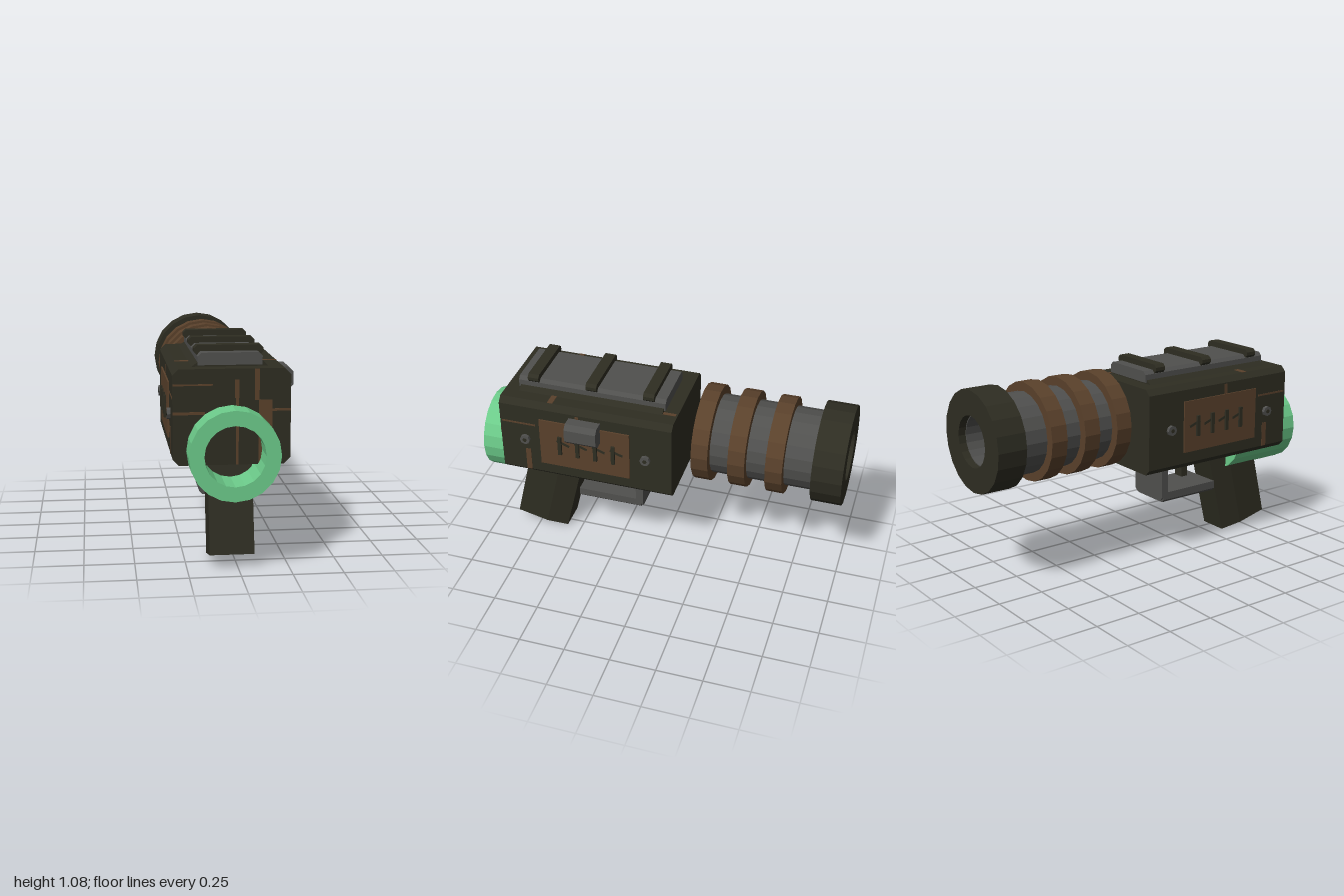
import * as THREE from 'three';

const mat = (name, color) => {
  const m = new THREE.MeshStandardMaterial({ color, flatShading: true });
  m.name = name;
  return m;
};

export function createModel() {
  const dark = mat('dark olive', 0x2e2d22);
  const gray = mat('steel gray', 0x50504e);
  const rust = mat('rust brown', 0x5a412b);
  const green = mat('mint green', 0x6ccb8a);

  const root = new THREE.Group();
  root.name = 'blaster';
  const gun = new THREE.Group();
  gun.name = 'gun';
  gun.position.x = -0.03; // the side knob makes the whole asymmetric
  root.add(gun);

  const add = (name, geo, material, x = 0, y = 0, z = 0) => {
    const m = new THREE.Mesh(geo, material);
    m.name = name;
    m.position.set(x, y, z);
    gun.add(m);
    return m;
  };
  // Box given by its extents
  const box = (name, material, x0, x1, y0, y1, z0, z1) =>
    add(name, new THREE.BoxGeometry(x1 - x0, y1 - y0, z1 - z0), material,
      (x0 + x1) / 2, (y0 + y1) / 2, (z0 + z1) / 2);
  // Polygon in x, y drawn out along z
  const prism = (name, material, pts, z0, z1) => {
    const shape = new THREE.Shape(pts.map(([x, y]) => new THREE.Vector2(x, y)));
    return add(name, new THREE.ExtrudeGeometry(shape, { depth: z1 - z0, bevelEnabled: false }), material, 0, 0, z0);
  };
  // Rectangle with cut top (t) and bottom (b) corners
  const cut = (w, y0, y1, t, b) => [
    [-w + b, y0], [w - b, y0], [w, y0 + b], [w, y1 - t], [w - t, y1], [-w + t, y1], [-w, y1 - t], [-w, y0 + b],
  ].filter((p, i, a) => i === 0 || p[0] !== a[i - 1][0] || p[1] !== a[i - 1][1]);
  // Hollow tube along z
  const tube = (name, material, y, ro, ri, z0, z1) => {
    const pts = [[ro, z0], [ro, z1], [ri, z1], [ri, z0], [ro, z0]].map(p => new THREE.Vector2(...p));
    const geo = new THREE.LatheGeometry(pts, 20);
    geo.rotateX(Math.PI / 2);
    return add(name, geo, material, 0, y, 0);
  };

  // Main body
  prism('body', dark, cut(0.285, 0.515, 0.982, 0.03, 0.03), -0.11, 0.85);

  // Front ring
  tube('frontRing', green, 0.587, 0.22, 0.147, 0.58, 1.0);

  // Rear barrel with bands and end cap
  const by = 0.797;
  tube('barrel', gray, by, 0.213, 0.13, -0.96, -0.205);
  for (const z of [-0.25, -0.447, -0.645]) tube('barrelBand', rust, by, 0.26, 0.18, z - 0.045, z + 0.045);
  tube('barrelCap', dark, by, 0.267, 0.135, -1.0, -0.84);

  // Top rail with cross slats
  prism('railBase', dark, [[-0.19, 0.98], [0.19, 0.98], [0.155, 1.005], [-0.155, 1.005]], -0.03, 0.77);
  prism('topRail', gray, cut(0.157, 0.99, 1.05, 0.018, 0), -0.04, 0.78);
  for (const z of [0.05, 0.367, 0.692]) prism('railSlat', dark, cut(0.17, 1.032, 1.08, 0.015, 0.015), z - 0.03, z + 0.03);

  // Tilted grip with cut rear corners
  const gripShape = new THREE.Shape([
    [-0.11, -0.149], [0.11, -0.149], [0.11, 0.03], [0.08, 0.149], [-0.08, 0.149], [-0.11, 0.03],
  ].map(p => new THREE.Vector2(...p)));
  const gripGeo = new THREE.ExtrudeGeometry(gripShape, { depth: 0.58, bevelEnabled: false });
  gripGeo.rotateX(-Math.PI / 2);
  add('grip', gripGeo, dark, 0, 0.036, 0.73).rotation.x = -0.235;

  // Trigger and its guard
  box('trigger', dark, -0.03, 0.03, 0.365, 0.487, 0.315, 0.355);
  prism('guardBar', gray, cut(0.123, 0.275, 0.332, 0, 0.015), 0.115, 0.48);
  prism('guardPost', gray, cut(0.123, 0.288, 0.53, 0, 0.015), 0.103, 0.145);

  // Side panels with slots and bolts, mirrored
  for (const s of [-1, 1]) {
    const side = (name, m, out, y0, y1, z0, z1) =>
      box(name, m, Math.min(s * 0.27, s * out), Math.max(s * 0.27, s * out), y0, y1, z0, z1);
    side('sidePanel', rust, 0.293, 0.607, 0.89, 0.12, 0.625);
    for (let i = 0; i < 4; i++) {
      const z = 0.21 + i * 0.1;
      side('slot', dark, 0.305, 0.69, 0.803, z - 0.01, z + 0.01);
      const streak = box('slotStreak', dark, s * 0.294 - 0.001, s * 0.294 + 0.001, 0.753, 0.767, z - 0.055, z + 0.02);
      streak.rotation.x = -0.35;
    }
    for (const z of [0.71, 0.033]) {
      const geo = new THREE.CylinderGeometry(0.028, 0.028, 0.03, 8);
      geo.rotateZ(Math.PI / 2);
      add('bolt', geo, gray, s * 0.288, 0.747, z);
      const core = new THREE.CylinderGeometry(0.012, 0.012, 0.004, 6);
      core.rotateZ(Math.PI / 2);
      add('boltSocket', core, dark, s * 0.304, 0.747, z);
    }
    // Rust marks on side and top
    side('rustMark', rust, 0.287, 0.545, 0.68, 0.685, 0.715);
    side('rustMark', rust, 0.287, 0.89, 0.945, 0.4, 0.42);
    side('rustMark', rust, 0.287, 0.838, 0.848, 0.65, 0.84);
    box('rustMark', rust, Math.min(s * 0.155, s * 0.255), Math.max(s * 0.155, s * 0.255), 0.98, 0.984, 0.555, 0.585);
  }
  box('rustMark', rust, 0.16, 0.18, 0.98, 0.984, -0.1, 0.21);

  // Rust marks on the front face
  for (const [x0, x1, y0, y1] of [
    [0.11, 0.133, 0.83, 0.98], [0.14, 0.195, 0.65, 0.83], [0.13, 0.15, 0.515, 0.83],
    [0.015, 0.035, 0.84, 0.93], [0.02, 0.033, 0.515, 0.84],
    [-0.284, -0.09, 0.902, 0.91], [-0.284, -0.13, 0.762, 0.776], [0.195, 0.284, 0.775, 0.787],
  ]) box('rustMark', rust, x0, x1, y0, y1, 0.848, 0.852);

  // Knob on the left side
  prism('sideKnob', gray, [
    [0.28, 0.81], [0.34, 0.81], [0.365, 0.835], [0.365, 0.905], [0.34, 0.93], [0.28, 0.93],
  ], 0.28, 0.455);

  return root;
}
